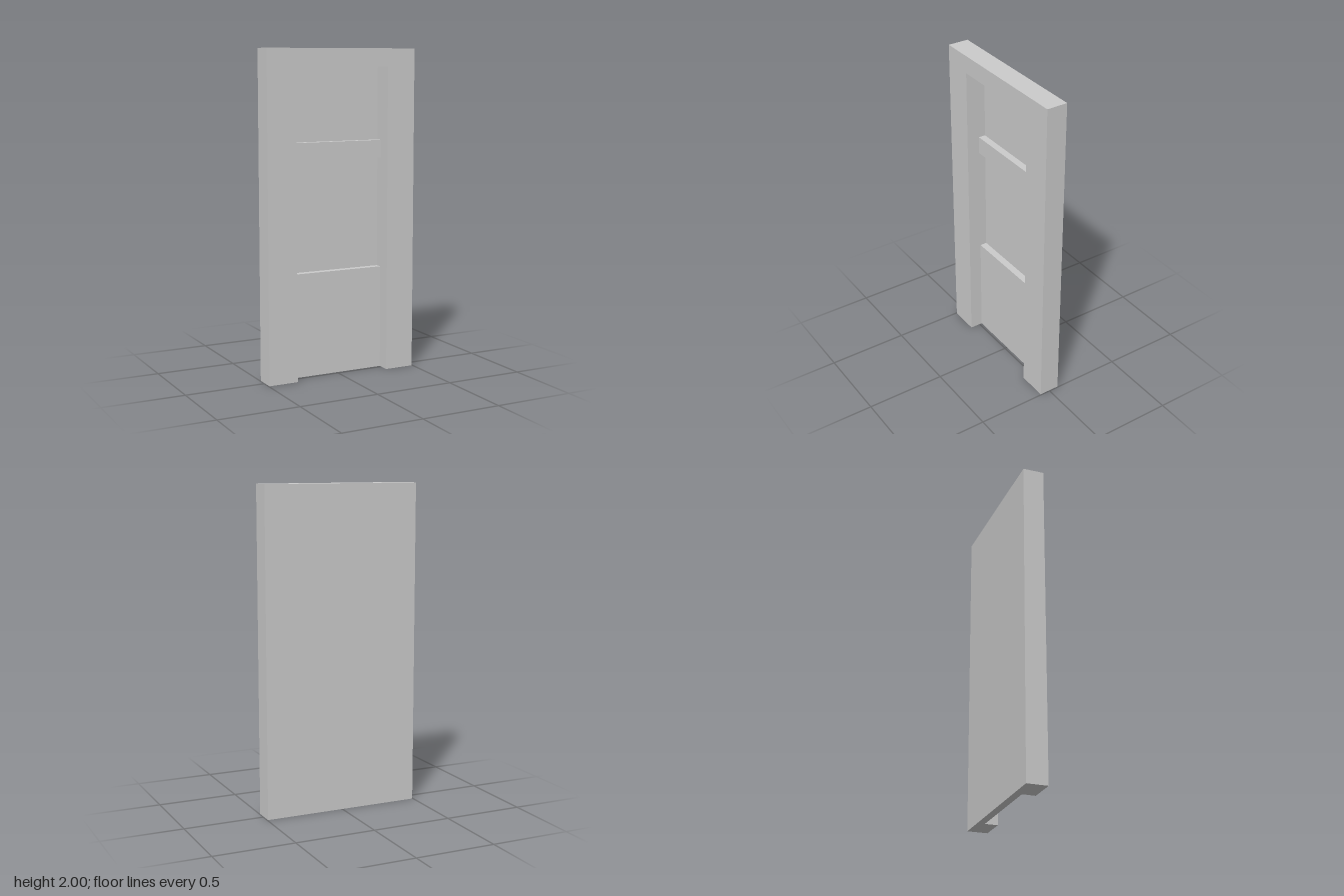
import * as THREE from 'three';

const W = 0.99, H = 2, D = 0.13;        // overall block
const OPEN_W = 0.616, OPEN_H = 1.89;    // doorway recess
const BACK = 0.004;                     // thin sheet closing the recess
const PANEL_Z = -0.017;                 // front of the rail and lower panel

export function createModel() {
  const group = new THREE.Group();
  const material = new THREE.MeshStandardMaterial({ color: 0xcccccc, flatShading: true });
  const backZ = -D / 2 + BACK;

  const add = (name, geometry) => {
    const mesh = new THREE.Mesh(geometry, material);
    mesh.name = name;
    group.add(mesh);
    return mesh;
  };

  // Box given by its width and its y and z ranges, centred on x
  const slab = (name, width, y0, y1, z0, z1) =>
    add(name, new THREE.BoxGeometry(width, y1 - y0, z1 - z0))
      .position.set(0, (y0 + y1) / 2, (z0 + z1) / 2);

  // Surround: two posts and a lintel in one piece, open at the floor
  const w = W / 2, o = OPEN_W / 2;
  const outline = new THREE.Shape([
    [-w, 0], [-o, 0], [-o, OPEN_H], [o, OPEN_H], [o, 0], [w, 0], [w, H], [-w, H],
  ].map(([x, y]) => new THREE.Vector2(x, y)));
  const frame = new THREE.ExtrudeGeometry(outline, { depth: D - BACK, bevelEnabled: false });
  add('doorFrame', frame.translate(0, 0, backZ));

  // Flat back, then the rail and lower panel standing forward of it
  slab('backSheet', W, 0, H, -D / 2, backZ);
  slab('crossRail', OPEN_W, 1.33, 1.44, backZ, PANEL_Z);
  slab('lowerPanel', OPEN_W, 0, 0.645, backZ, PANEL_Z);

  return group;
}
